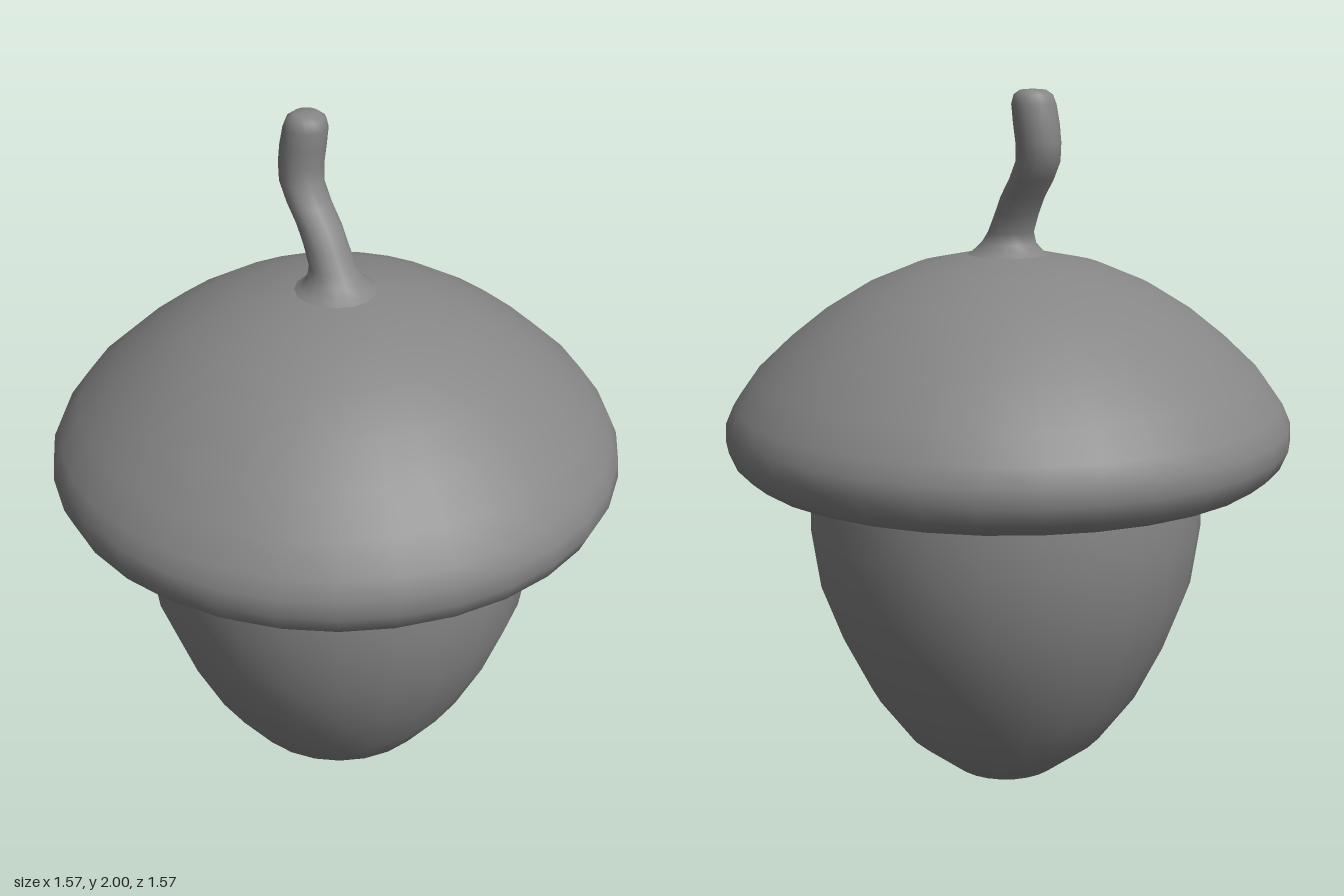
import * as THREE from 'three';
import { mergeVertices } from 'three/addons/utils/BufferGeometryUtils.js';

const material = new THREE.MeshStandardMaterial({ color: 0x868686, side: THREE.DoubleSide });

// Smooth turned part; profile is [radius, y] from bottom to top
function turned(name, profile, sides) {
  const points = profile.map(([r, y]) => new THREE.Vector2(r, y));
  const mesh = new THREE.Mesh(new THREE.LatheGeometry(points, sides), material);
  mesh.name = name;
  return mesh;
}

export function createModel() {
  const model = new THREE.Group();
  model.name = 'acorn';

  // Nut: rounded body tapering to a blunt tip, tucked into the cap
  const nut = turned('nut', [
    [0, 0], [0.03, 0.002], [0.08, 0.015], [0.15, 0.046], [0.285, 0.15], [0.39, 0.29], [0.47, 0.45],
    [0.53, 0.61], [0.555, 0.78], [0.553, 0.94], [0.53, 1.06],
  ], 24);
  nut.position.set(-0.007, 0, 0.02);
  model.add(nut);

  // Cap: hollow underside, rolled rim and dome
  const cap = turned('cap', [
    [0.48, 0.985], [0.55, 0.968], [0.61, 0.951], [0.67, 0.944], [0.725, 0.957], [0.765, 0.99], [0.787, 1.04],
    [0.784, 1.09], [0.762, 1.14], [0.705, 1.22], [0.61, 1.31], [0.51, 1.39], [0.4, 1.458],
    [0.26, 1.517], [0.12, 1.547], [0.04, 1.553], [0, 1.553],
  ], 32);
  model.add(cap);

  // Stem: flared foot and rounded end, bent backwards along a curve
  const stem = turned('stem', [
    [0.135, 1.535], [0.1, 1.554], [0.075, 1.58], [0.063, 1.61], [0.06, 1.66], [0.06, 1.71],
    [0.06, 1.76], [0.06, 1.81], [0.061, 1.86], [0.062, 1.91], [0.06, 1.96],
    [0.052, 1.985], [0.035, 1.997], [0, 2],
  ], 16);
  const bend = new THREE.SplineCurve([
    [1.53, 0.005], [1.6, -0.005], [1.7, -0.06], [1.8, -0.132], [1.87, -0.142], [1.95, -0.132], [2, -0.13],
  ].map(([y, z]) => new THREE.Vector2(y, z))).getPoints(120);
  stem.geometry.deleteAttribute('uv');
  stem.geometry.deleteAttribute('normal');
  stem.geometry = mergeVertices(stem.geometry);
  const p = stem.geometry.attributes.position;
  for (let i = 0; i < p.count; i++) {
    const y = p.getY(i);
    const at = bend.find((b) => b.x >= y - 1e-4) ?? bend[bend.length - 1];
    p.setX(i, p.getX(i) + Math.max(0, y - 1.58) * 0.065 - 0.003);
    p.setZ(i, p.getZ(i) + at.y);
  }
  stem.geometry.computeVertexNormals();
  model.add(stem);

  return model;
}
